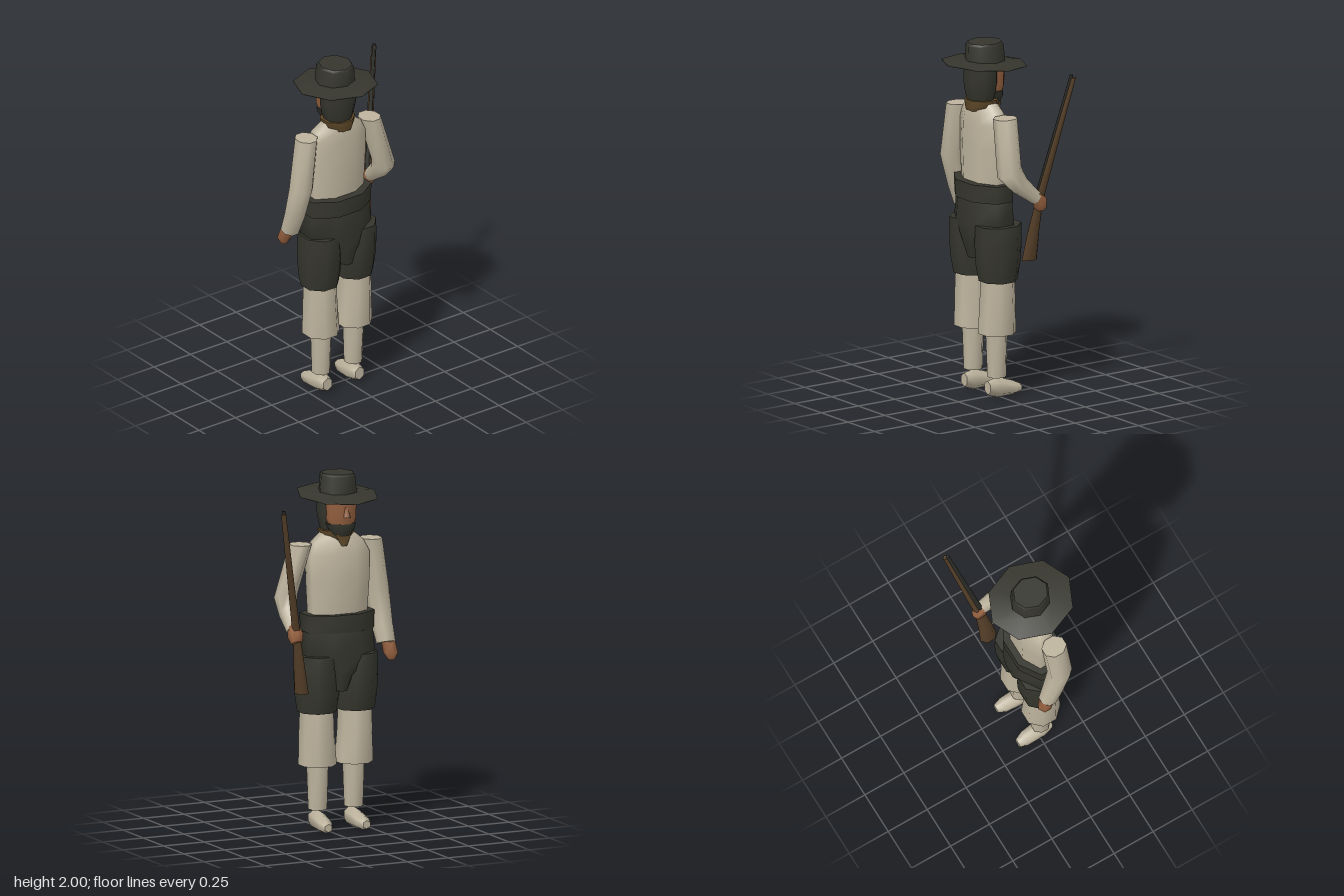
import * as THREE from 'three';

const material = (name, color) => {
  const m = new THREE.MeshStandardMaterial({ color });
  m.name = name;
  return m;
};

// Closed loft through elliptical rings, listed from bottom to top.
// Ring: [x, y, z, half width, half depth, tilt about x]
function loftGeometry(rings, n, halfStep) {
  const pos = [], idx = [];
  const grow = halfStep ? 1 / Math.cos(Math.PI / n) : 1;
  const addRing = ([x, y, z, rx, rz, t = 0]) => {
    const start = pos.length / 3;
    for (let j = 0; j < n; j++) {
      const a = ((j + (halfStep ? 0.5 : 0)) / n) * Math.PI * 2;
      const d = Math.sin(a) * rz * grow;
      pos.push(x + Math.cos(a) * rx * grow, y + d * Math.sin(t), z + d * Math.cos(t));
    }
    return start;
  };
  const starts = rings.map(addRing);
  for (let i = 0; i < rings.length - 1; i++) {
    for (let j = 0; j < n; j++) {
      const k = (j + 1) % n, a = starts[i], b = starts[i + 1];
      idx.push(a + j, b + j, a + k, b + j, b + k, a + k);
    }
  }
  // separate cap vertices keep the rims sharp
  const bottom = addRing(rings[0]), top = addRing(rings[rings.length - 1]);
  for (let j = 1; j < n - 1; j++) {
    idx.push(bottom, bottom + j, bottom + j + 1, top, top + j + 1, top + j);
  }
  const g = new THREE.BufferGeometry();
  g.setAttribute('position', new THREE.Float32BufferAttribute(pos, 3));
  g.setIndex(idx);
  g.computeVertexNormals();
  return g;
}

export function createModel() {
  const model = new THREE.Group();
  model.name = 'riflemanFigure';
  const cloth = material('offWhiteCloth', 0xbdb39d);
  const dark = material('darkCloth', 0x36362e);
  const hair = material('darkHair', 0x35352d);
  const skin = material('skin', 0x94603f);
  const scarfBrown = material('scarfBrown', 0x5e4828);
  const wood = material('stockWood', 0x553f28);
  const metal = material('gunMetal', 0x2b2b27);

  const part = (name, mat, rings, n = 8, halfStep = true) => {
    const mesh = new THREE.Mesh(loftGeometry(rings, n, halfStep), mat);
    mesh.name = name;
    model.add(mesh);
    return mesh;
  };
  const cx = -0.077;

  // Hat with tilted octagonal brim
  part('hatBrim', dark, [
    [cx, 1.876, 0.018, 0.228, 0.247, 0.075],
    [cx, 1.881, 0.018, 0.228, 0.247, 0.075],
    [cx, 1.897, 0.015, 0.11, 0.115, 0.04],
  ], 8, false);
  part('hatCrown', dark, [
    [cx, 1.875, 0.012, 0.112, 0.113],
    [cx, 1.985, 0.016, 0.1, 0.112],
    [cx, 2.0, 0.016, 0.09, 0.1],
  ], 8, false);

  // Head, facing -z
  part('hair', hair, [
    [cx, 1.65, 0.045, 0.07, 0.06],
    [cx, 1.72, 0.042, 0.088, 0.08],
    [cx, 1.78, 0.042, 0.098, 0.088],
    [cx, 1.88, 0.042, 0.098, 0.088],
  ]);
  part('face', skin, [
    [cx, 1.69, -0.03, 0.06, 0.05],
    [cx, 1.75, -0.025, 0.08, 0.068],
    [cx, 1.88, -0.02, 0.084, 0.075],
  ]);
  part('beard', hair, [
    [cx, 1.655, -0.035, 0.045, 0.04],
    [cx, 1.69, -0.032, 0.068, 0.057],
    [cx, 1.725, -0.025, 0.08, 0.062],
  ]);
  part('nose', skin, [
    [cx, 1.765, -0.095, 0.016, 0.019],
    [cx, 1.82, -0.088, 0.008, 0.01],
  ], 4);

  // Neck scarf with a hanging point
  part('scarf', scarfBrown, [
    [cx, 1.622, 0.04, 0.062, 0.082],
    [cx, 1.645, 0.035, 0.088, 0.088],
    [cx, 1.682, 0.036, 0.094, 0.088],
  ]);
  part('scarfPoint', scarfBrown, [
    [cx, 1.6, -0.065, 0.012, 0.012],
    [cx, 1.665, -0.045, 0.045, 0.02],
  ], 4);

  // Torso, belt and hips
  part('shirt', cloth, [
    [cx, 1.2, 0.018, 0.165, 0.09],
    [cx, 1.42, 0.015, 0.178, 0.097],
    [cx, 1.55, 0.017, 0.18, 0.09],
    [cx, 1.62, 0.025, 0.145, 0.078],
    [cx, 1.665, 0.03, 0.09, 0.06],
  ]);
  part('sash', dark, [
    [cx, 1.12, 0.022, 0.2, 0.13],
    [cx, 1.22, 0.022, 0.203, 0.133],
  ]);
  part('hips', dark, [
    [cx + 0.015, 0.79, 0.018, 0.045, 0.11],
    [cx + 0.01, 0.88, 0.018, 0.085, 0.13],
    [cx, 0.99, 0.018, 0.206, 0.129],
    [cx, 1.125, 0.018, 0.192, 0.122],
  ]);

  // Legs: breeches, loose cuffs, stockings and shoes
  for (const [side, s, x] of [['right', -1, -0.185], ['left', 1, 0.05]]) {
    part(side + 'Breeches', dark, [
      [x, 0.67, 0.016, 0.1, 0.102],
      [x, 0.76, 0.017, 0.112, 0.118],
      [x + s * 0.003, 0.88, 0.018, 0.114, 0.126],
      [x + s * 0.004, 0.99, 0.018, 0.108, 0.125],
    ]);
    part(side + 'Cuff', cloth, [
      [x + s * -0.006, 0.37, 0.02, 0.098, 0.1],
      [x, 0.55, 0.02, 0.09, 0.095],
      [x, 0.69, 0.02, 0.085, 0.09],
    ]);
    part(side + 'Stocking', cloth, [
      [x + s * -0.007, 0.12, 0.02, 0.048, 0.05],
      [x + s * -0.007, 0.38, 0.022, 0.056, 0.058],
    ]);
    const fx = x - s * 0.008, t = Math.PI / 2;
    part(side + 'Shoe', cloth, [
      [fx, 0.062, 0.082, 0.028, 0.034, t],
      [fx, 0.058, 0.02, 0.043, 0.05, t],
      [fx + s * 0.005, 0.042, -0.085, 0.038, 0.035, t],
      [fx + s * 0.008, 0.037, -0.13, 0.022, 0.02, t],
    ], 6);
  }

  // Hanging arm
  part('rightSleeve', cloth, [
    [-0.35, 1.03, -0.035, 0.049, 0.05, -0.3],
    [-0.342, 1.15, 0.005, 0.056, 0.057, -0.25],
    [-0.335, 1.32, 0.048, 0.062, 0.065, -0.12],
    [-0.293, 1.612, 0.038, 0.057, 0.066],
  ]);
  part('rightHand', skin, [
    [-0.366, 0.938, -0.07, 0.015, 0.018],
    [-0.364, 0.975, -0.065, 0.036, 0.035],
    [-0.358, 1.04, -0.045, 0.034, 0.034],
  ], 6);

  // Bent arm gripping the gun
  part('leftSleeve', cloth, [
    [0.25, 1.16, -0.095, 0.035, 0.037, -0.9],
    [0.237, 1.24, 0.0, 0.046, 0.05, -0.85],
    [0.218, 1.325, 0.062, 0.06, 0.069, -0.4],
    [0.142, 1.612, 0.035, 0.057, 0.066],
  ]);
  part('leftHand', skin, [
    [0.248, 1.095, -0.135, 0.028, 0.026, -0.5],
    [0.25, 1.135, -0.122, 0.038, 0.042, -0.6],
    [0.25, 1.175, -0.09, 0.03, 0.03, -0.8],
  ], 6);

  // Long gun, leaning outward and forward
  part('gunStock', wood, [
    [0.196, 0.8, -0.09, 0.03, 0.044],
    [0.216, 0.95, -0.101, 0.025, 0.035],
    [0.238, 1.1, -0.118, 0.017, 0.025],
    [0.25, 1.17, -0.128, 0.018, 0.022],
    [0.388, 1.85, -0.252, 0.012, 0.012],
  ], 6);
  part('gunBarrel', metal, [
    [0.243, 1.19, -0.118, 0.012, 0.014],
    [0.382, 1.866, -0.242, 0.008, 0.009],
  ], 6);

  return model;
}
